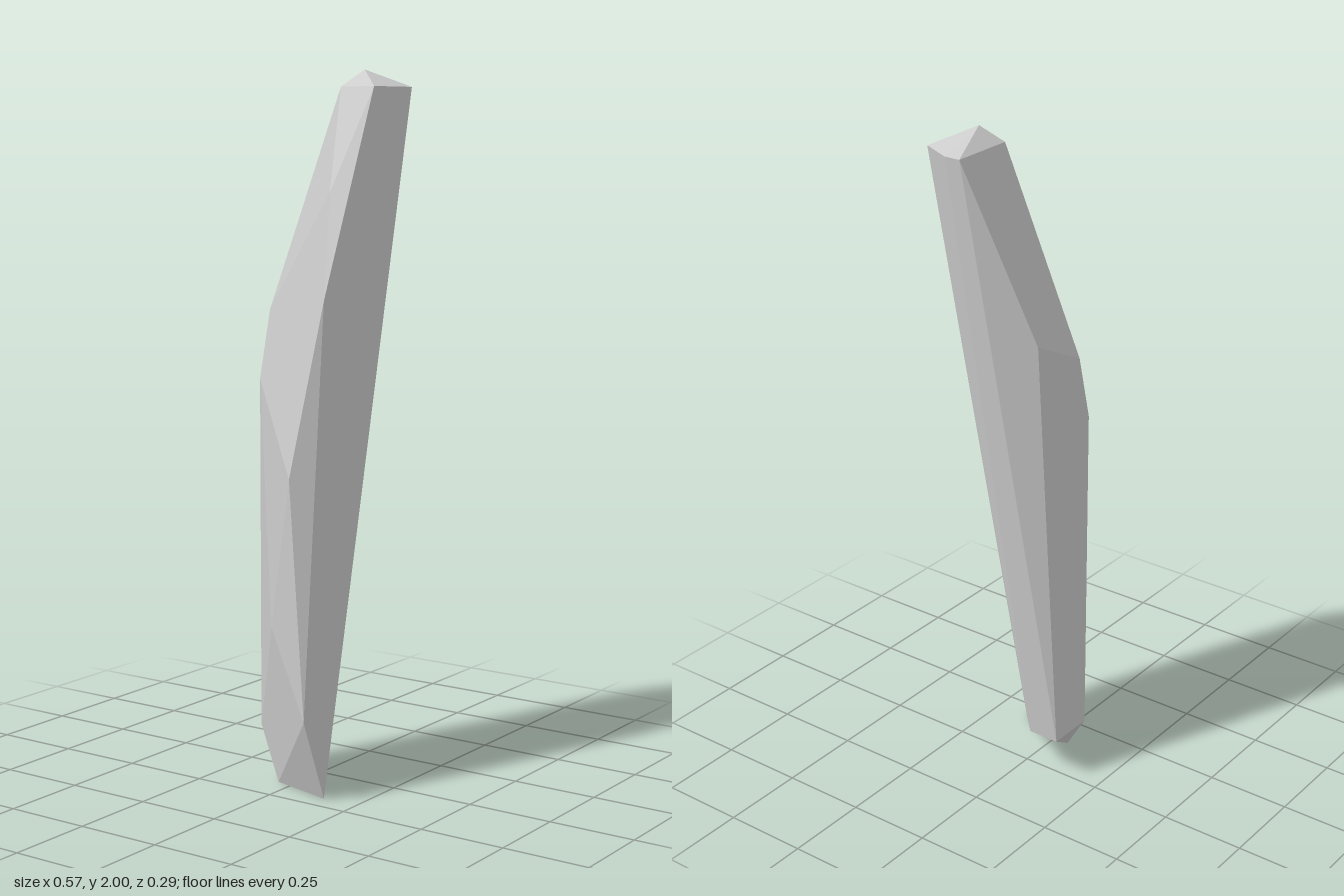
import * as THREE from 'three';
import { ConvexGeometry } from 'three/addons/geometries/ConvexGeometry.js';

export function createModel() {
  const group = new THREE.Group();
  group.name = 'shard';

  // Corner points on a coarse grid, one grid step = 1/21 unit
  const corners = [
    // pointed cap and top rim
    [3, 42, 1], [1, 41, 3], [5, 41, 3], [6, 41, 1], [6, 41, 0], [2, 41, 0],
    // shoulder curving down the right side
    [-2, 35, 2], [-4, 29, 3], [-6, 19, 2], [-5, 10, 0], [-6, 5, 3],
    // flat back
    [3, 30, -3], [-1, 28, -3], [-2, 24, -3], [-2, 3, -3], [1, 3, -3],
    // bevelled foot
    [1, 3, -1], [-3, 0, -1], [-4, 0, 3],
  ].map(([x, y, z]) => new THREE.Vector3(x, y, z).divideScalar(21));

  // Faceted convex stone
  const stone = new THREE.Mesh(
    new ConvexGeometry(corners),
    new THREE.MeshStandardMaterial({ color: 0xcccccc, flatShading: true })
  );
  stone.name = 'stoneShard';
  group.add(stone);
  return group;
}
